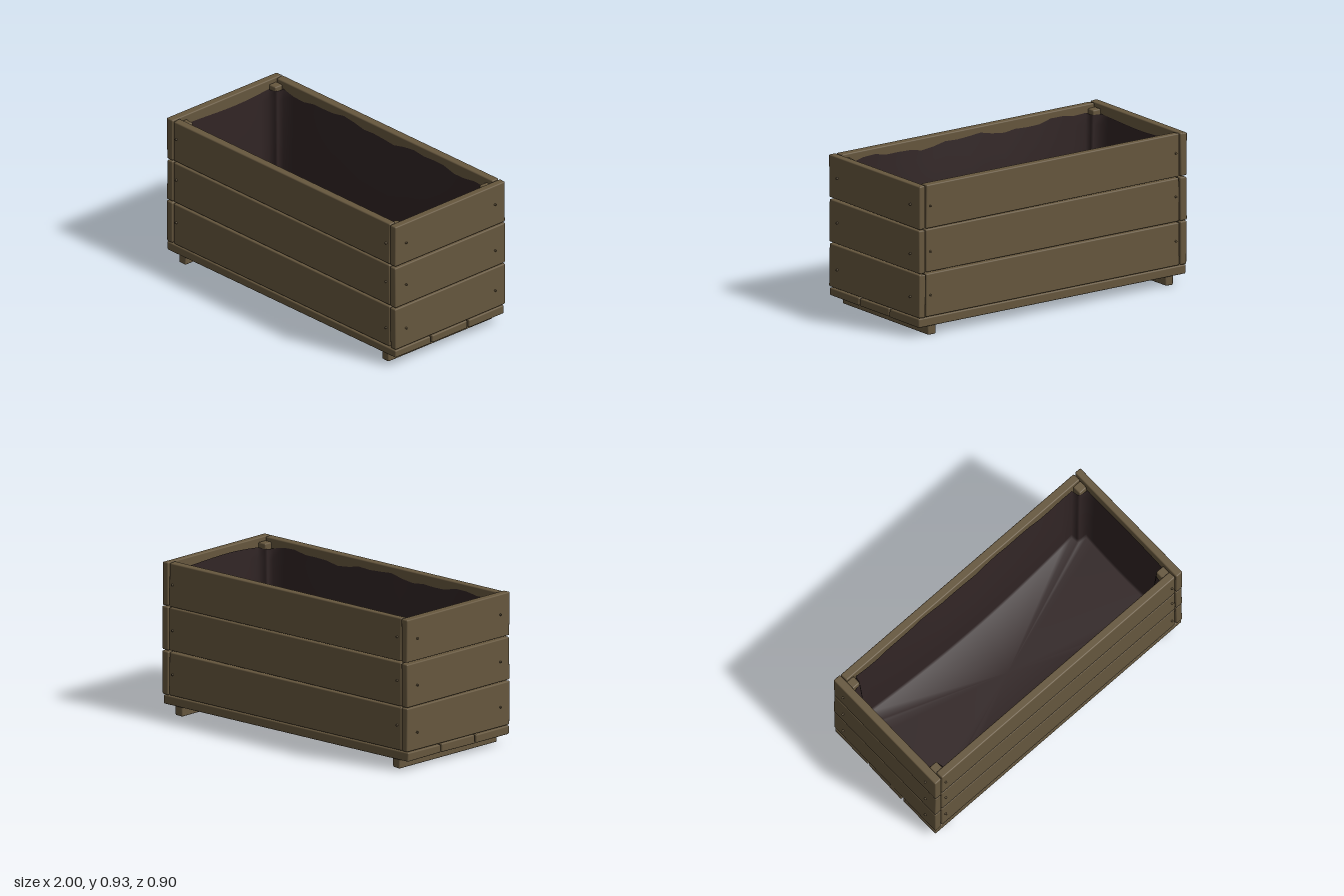
import * as THREE from 'three';
import { RoundedBoxGeometry } from 'three/addons/geometries/RoundedBoxGeometry.js';

const wood = new THREE.MeshStandardMaterial({ color: 0x66573e });
wood.name = 'weathered wood';
const cloth = new THREE.MeshStandardMaterial({ color: 0x302424, side: THREE.DoubleSide });
cloth.name = 'dark liner cloth';

export function createModel() {
  const model = new THREE.Group();
  model.name = 'planterBox';
  let seed = 7;
  const rand = () => ((seed = (seed * 16807) % 2147483647) / 2147483647);

  // Rounded board between two corners, with each of its eight corners slightly worn
  function board(name, x0, x1, y0, y1, z0, z1, wear = 0.005, radius = 0.008) {
    const geo = new RoundedBoxGeometry(x1 - x0, y1 - y0, z1 - z0, 3, radius);
    const p = geo.attributes.position;
    const chips = Array.from({ length: 8 }, () => [rand() * wear, rand() * wear, rand() * wear * 0.4]);
    for (let i = 0; i < p.count; i++) {
      const s = [p.getX(i), p.getY(i), p.getZ(i)].map(Math.sign);
      const c = chips[(s[0] > 0 ? 1 : 0) + (s[1] > 0 ? 2 : 0) + (s[2] > 0 ? 4 : 0)];
      p.setXYZ(i, p.getX(i) - s[0] * c[0], p.getY(i) - s[1] * c[1], p.getZ(i) - s[2] * c[2]);
    }
    const mesh = new THREE.Mesh(geo, wood);
    mesh.name = name;
    mesh.position.set((x0 + x1) / 2, (y0 + y1) / 2, (z0 + z1) / 2);
    model.add(mesh);
  }

  // Small nail head on a wall, facing along x or z
  const nailGeo = new THREE.CylinderGeometry(0.006, 0.007, 0.014, 8);
  function nail(x, y, z, alongX) {
    const mesh = new THREE.Mesh(nailGeo, wood);
    mesh.name = 'nail';
    mesh.position.set(x, y, z);
    if (alongX) mesh.rotation.z = -Math.sign(x) * Math.PI / 2;
    else mesh.rotation.x = Math.sign(z) * Math.PI / 2;
    model.add(mesh);
  }

  // Three rows of wall boards, end boards covering the long ones
  for (const [y0, y1] of [[0.117, 0.388], [0.391, 0.659], [0.662, 0.931]]) {
    for (const s of [-1, 1]) {
      const zs = [s * 0.39, s * 0.443].sort((a, b) => a - b);
      const xs = [s * 0.938, s * 0.99].sort((a, b) => a - b);
      board('longBoard', -0.936, 0.936, y0, y1, ...zs);
      board('endBoard', ...xs, y0, y1, -0.446, 0.446);
      for (const t of [-1, 1]) {
        nail(t * 0.905, y0 + 0.12 + rand() * 0.04, s * 0.445, false);
        nail(s * 0.992, y0 + 0.11 + rand() * 0.04, t * 0.36, true);
      }
    }
  }

  // Base boards and the two runners beneath them
  for (const [z0, z1] of [[-0.437, -0.15], [-0.142, 0.146], [0.155, 0.442]])
    board('baseBoard', -0.99, 0.99, 0.06, 0.116, z0, z1);
  board('leftRunner', 0.845, 0.907, 0, 0.064, -0.422, 0.424);
  board('rightRunner', -0.907, -0.845, 0, 0.064, -0.422, 0.424);

  // Inner corner posts
  for (const x of [-0.908, 0.908])
    for (const z of [-0.363, 0.363])
      board('cornerPost', x - 0.03, x + 0.03, 0.116, 0.905, z - 0.03, z + 0.03, 0.002);

  // Plan outline of the liner, stepping around the four posts
  const outline = [];
  const N = 20;
  for (const s of [1, -1]) {
    for (let i = 0; i <= N; i++) outline.push([s * 0.865 * (1 - 2 * i / N), s * 0.386]);
    outline.push([-s * 0.872, s * 0.345], [-s * 0.882, s * 0.333]);
    for (let i = 0; i <= N / 2; i++) outline.push([-s * 0.933, s * 0.325 * (1 - 4 * i / N)]);
    outline.push([-s * 0.882, -s * 0.333], [-s * 0.872, -s * 0.345]);
  }

  // Cloth liner: rings sagging inward towards a flat floor
  const count = outline.length, rings = 12;
  const pos = [], index = [];
  for (let k = 0; k <= rings; k++) {
    const t = k / rings;
    outline.forEach(([x, z]) => {
      const sag = Math.sin(Math.PI * Math.min(1, t * 1.3) / 2);
      const bulgeZ = 0.012 + 0.045 * Math.cos(x * Math.PI / 1.9);
      const bulgeX = 0.018 + 0.012 * Math.cos(z * Math.PI / 0.8);
      const top = 0.875 + 0.012 * Math.sin(9 * x + 4 * z) + 0.008 * Math.sin(23 * x - 7 * z);
      const px = x - Math.sign(x) * bulgeX * sag * Math.min(1, Math.abs(x) / 0.8);
      const pz = z - Math.sign(z) * bulgeZ * sag * Math.min(1, Math.abs(z) / 0.3);
      pos.push(px, THREE.MathUtils.lerp(top, 0.13, t), pz);
    });
  }
  pos.push(0, 0.125, 0);
  for (let i = 0; i < count; i++) {
    const j = (i + 1) % count;
    for (let k = 0; k < rings; k++) {
      const a = k * count + i, b = k * count + j;
      index.push(a, a + count, b, b, a + count, b + count);
    }
    index.push(rings * count + i, (rings + 1) * count, rings * count + j);
  }
  const linerGeo = new THREE.BufferGeometry();
  linerGeo.setAttribute('position', new THREE.Float32BufferAttribute(pos, 3));
  linerGeo.setIndex(index);
  linerGeo.computeVertexNormals();
  // Normals must face into the box
  const n = linerGeo.attributes.normal;
  if (n.getY(n.count - 1) < 0) {
    linerGeo.setIndex(index.reverse());
    linerGeo.computeVertexNormals();
  }
  const liner = new THREE.Mesh(linerGeo, cloth);
  liner.name = 'clothLiner';
  model.add(liner);

  return model;
}
